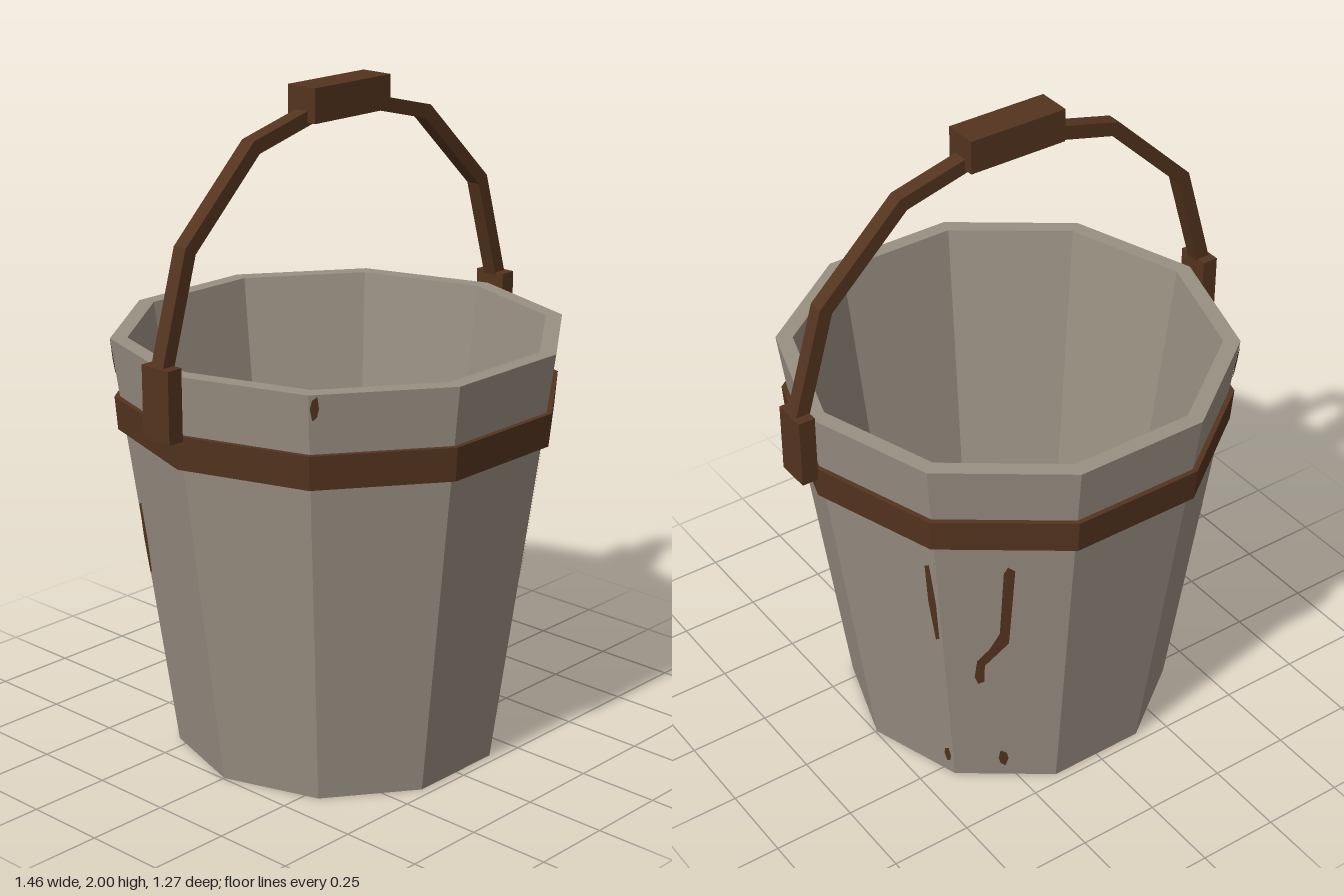
import * as THREE from 'three';

const SIDES = 10, STEP = Math.PI / 5, H = 1.275;
const radiusAt = (y) => 0.495 + 0.175 * y / H; // outer corner radius of the pail

function createMaterials() {
  const make = (name, color, extra = {}) => {
    const m = new THREE.MeshStandardMaterial({ color, ...extra });
    m.name = name;
    return m;
  };
  return {
    wood: make('weatheredWood', 0x9a9083),
    brown: make('darkBrown', 0x54341f, { side: THREE.DoubleSide }),
  };
}

// Ten-sided ring or shell with flat faces, one flat side to the front
function facetedLathe(points) {
  const pts = points.map(([r, y]) => new THREE.Vector2(r, y));
  const geo = new THREE.LatheGeometry(pts, SIDES, STEP / 2).toNonIndexed();
  geo.computeVertexNormals();
  return geo;
}

// Thin painted mark laid on one stave; outline is [sideways, height] pairs
function staveMark(outline, angle, { flip = 1, inside = false } = {}) {
  const shape = new THREE.Shape(outline.map(([s, y]) => new THREE.Vector2(s * flip, y)));
  const geo = new THREE.ShapeGeometry(shape);
  const pos = geo.attributes.position;
  const sin = Math.sin(angle), cos = Math.cos(angle);
  for (let i = 0; i < pos.count; i++) {
    const s = pos.getX(i), y = pos.getY(i);
    const r = (radiusAt(y) - (inside ? 0.05 : 0)) * Math.cos(STEP / 2) + (inside ? -0.004 : 0.004);
    pos.setXYZ(i, r * sin + s * cos, y, r * cos - s * sin);
  }
  geo.computeVertexNormals();
  return geo;
}

// Tapered sliver outline between two heights
const sliver = (s, y0, y1, w) => [
  [s - w * 0.2, y0], [s + w * 0.3, y0 + 0.01], [s + w / 2, (y0 + y1) / 2],
  [s + w * 0.3, y1], [s - w * 0.3, y1 - 0.01], [s - w / 2, (y0 + y1) / 2],
];

export function createModel() {
  const group = new THREE.Group();
  const { wood, brown } = createMaterials();
  const add = (name, geo, mat, x = 0, y = 0, z = 0) => {
    const mesh = new THREE.Mesh(geo, mat);
    mesh.name = name;
    mesh.position.set(x, y, z);
    group.add(mesh);
    return mesh;
  };

  // Pail: underside, outer wall, rim, inner wall, floor
  add('pail', facetedLathe([
    [0, 0], [0.495, 0], [0.67, H], [0.62, H], [0.446, 0.025], [0, 0.025],
  ]), wood);

  // Hoop around the pail
  add('hoop', facetedLathe([
    [0.63, 1.0], [0.654, 1.0], [0.662, 1.1], [0.643, 1.1],
  ]), brown);

  // Handle: lugs, angled bars and grip
  const path = [[0.708, 1.28], [0.61, 1.615], [0.355, 1.86], [0.1, 1.925]];
  for (const side of [-1, 1]) {
    add('handleLug', new THREE.BoxGeometry(0.05, 0.21, 0.104), brown, side * 0.705, 1.205);
    for (let i = 0; i < path.length - 1; i++) {
      const [x0, y0] = path[i], [x1, y1] = path[i + 1];
      const dx = (x1 - x0) * side, dy = y1 - y0;
      const bar = add('handleBar', new THREE.BoxGeometry(Math.hypot(dx, dy) + 0.012, 0.042, 0.046),
        brown, side * (x0 + x1) / 2, (y0 + y1) / 2);
      bar.rotation.z = Math.atan2(dy, dx);
    }
  }
  add('grip', new THREE.BoxGeometry(0.312, 0.1, 0.104), brown, 0, 1.95);

  // Long cracks on the two mirrored staves, outside and showing through inside
  const crack = [
    [-0.03, 0.9], [-0.01, 0.915], [0.002, 0.89], [0.014, 0.64], [0.045, 0.57], [0.08, 0.52],
    [0.088, 0.45], [0.078, 0.42], [0.06, 0.43], [0.058, 0.5], [0.012, 0.565], [-0.012, 0.6],
  ];
  for (const [angle, flip] of [[STEP, 1], [4 * STEP, -1]]) {
    add('longCrack', staveMark(crack, angle, { flip }), brown);
    add('footChip', staveMark(sliver(0.005, 0.045, 0.115, 0.03), angle, { flip }), brown);
    add('innerCrack', staveMark(sliver(0.04, 0.58, 0.85, 0.03), angle, { flip, inside: true }), brown);
  }

  // Smaller marks near the stave joints
  add('sideCrack', staveMark(sliver(0.163, 0.6, 0.91, 0.028), 3 * STEP), brown);
  add('sideChip', staveMark(sliver(0.138, 0.05, 0.115, 0.025), 3 * STEP), brown);
  add('sideCrack', staveMark(sliver(-0.163, 0.55, 0.78, 0.025), 7 * STEP), brown);
  add('rimChip', staveMark(sliver(0.185, 1.16, 1.265, 0.028), 6 * STEP), brown);
  add('rimChip', staveMark(sliver(-0.19, 1.2, 1.27, 0.025), 9 * STEP), brown);

  return group;
}
